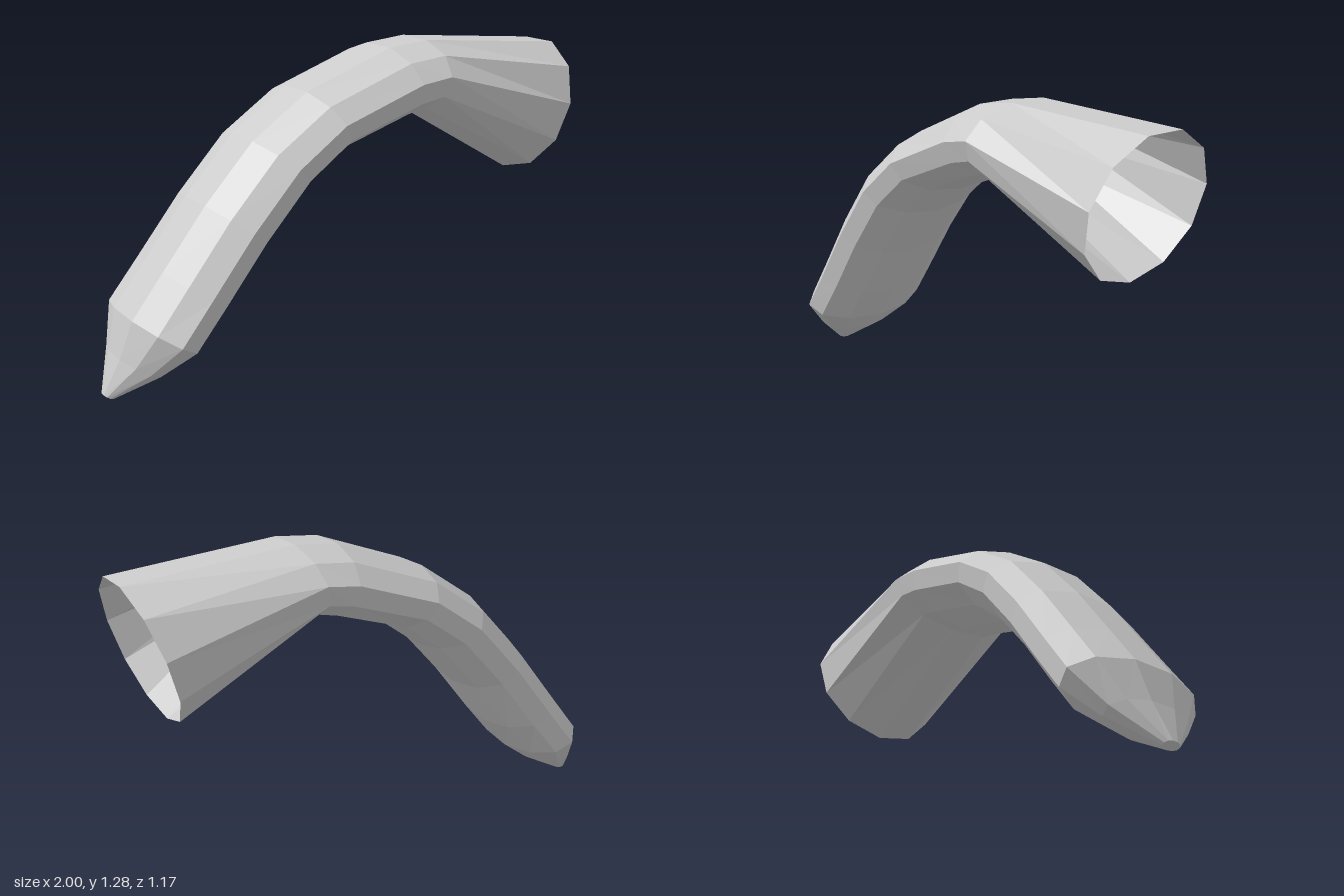
import * as THREE from 'three';

const SIDES = 11;

// Cross-sections from closed tip to open mouth:
// [along, height, half width, half thickness, pitch in degrees]
const RINGS = [
  [-1.045, 0.012, 0.035, 0.022, 65],
  [-0.935, 0.133, 0.18, 0.09, 66],
  [-0.855, 0.257, 0.294, 0.143, 61],
  [-0.732, 0.413, 0.29, 0.146, 58],
  [-0.56, 0.638, 0.288, 0.146, 54],
  [-0.37, 0.853, 0.287, 0.144, 48.5],
  [-0.172, 0.996, 0.285, 0.138, 29],
  [0.172, 1.12, 0.288, 0.146, 11],
  [0.3, 1.14, 0.29, 0.147, -11],
  [0.932, 0.961, 0.297, 0.295, -16.4],
];

// Joins the elliptical cross-sections into a bent tube, closed at its first ring
function bentTube(rings) {
  const positions = [];
  const index = [];
  for (const [x, y, width, thickness, pitch] of rings) {
    const p = THREE.MathUtils.degToRad(pitch);
    for (let j = 0; j < SIDES; j++) {
      const t = -Math.PI / 2 + (j / SIDES) * Math.PI * 2;
      const n = thickness * Math.sin(t);
      positions.push(x - n * Math.sin(p), y + n * Math.cos(p), width * Math.cos(t));
    }
  }
  for (let i = 0; i < rings.length - 1; i++) {
    for (let j = 0; j < SIDES; j++) {
      const k = (j + 1) % SIDES;
      const a = i * SIDES + j, b = i * SIDES + k;
      const c = a + SIDES, d = b + SIDES;
      index.push(a, c, b, b, c, d);
    }
  }
  // Tip cap
  for (let j = 1; j < SIDES - 1; j++) index.push(0, j, j + 1);

  const geometry = new THREE.BufferGeometry();
  geometry.setAttribute('position', new THREE.Float32BufferAttribute(positions, 3));
  geometry.setIndex(index);
  geometry.computeVertexNormals();
  return geometry;
}

export function createModel() {
  const group = new THREE.Group();
  group.name = 'bentSleeve';

  const material = new THREE.MeshStandardMaterial({
    color: 0xcccccc,
    flatShading: true,
    side: THREE.DoubleSide,
  });

  // Flattened tube that arches over and flares into a round open mouth,
  // turned sideways and leaning slightly forward
  const sleeve = new THREE.Mesh(bentTube(RINGS), material);
  sleeve.name = 'sleeve';
  sleeve.rotation.set(THREE.MathUtils.degToRad(2.5), THREE.MathUtils.degToRad(-19), 0, 'YXZ');
  sleeve.position.set(0, 0, -0.037);
  group.add(sleeve);

  return group;
}
